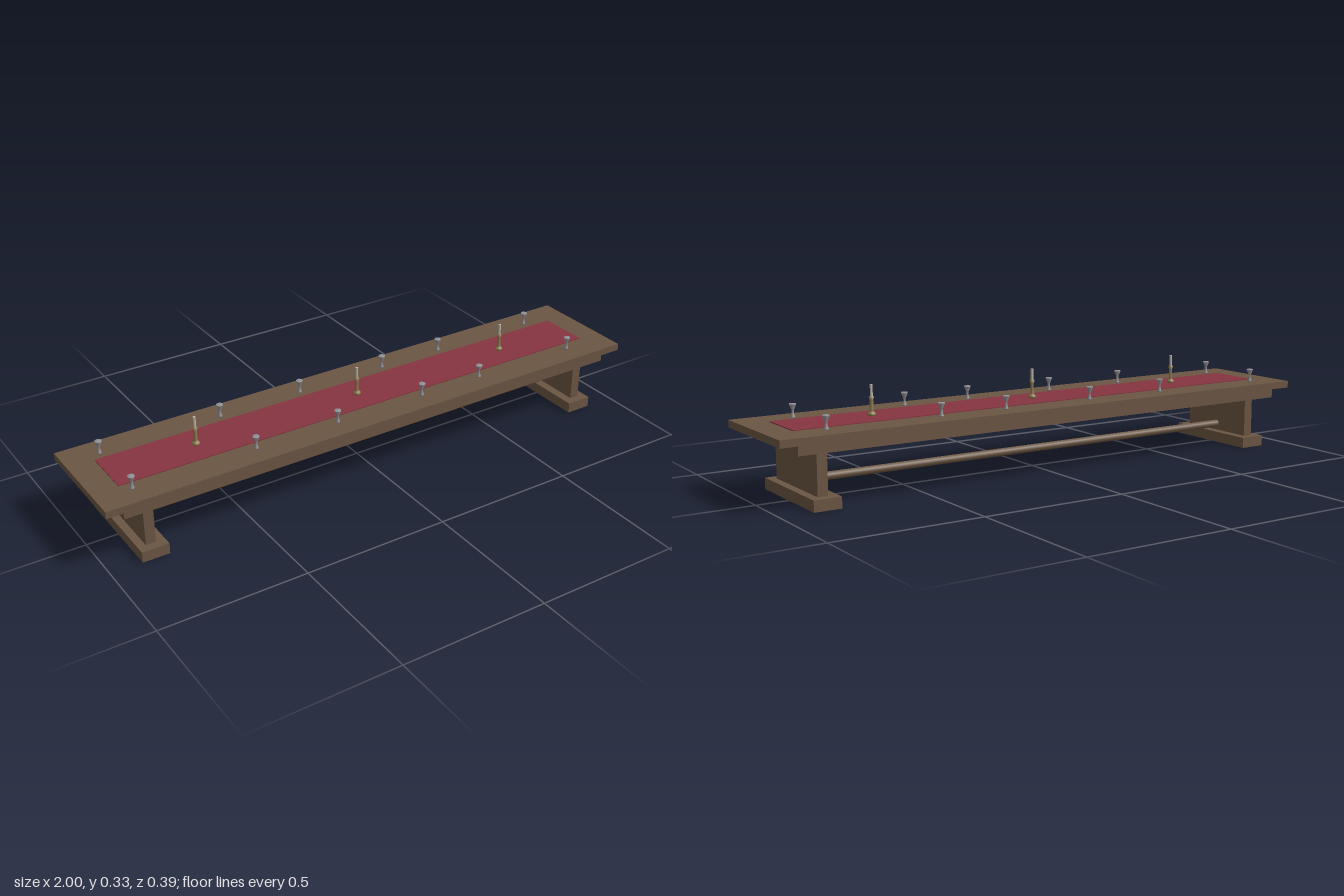
import * as THREE from 'three';

const material = (color, extra = {}) => new THREE.MeshStandardMaterial({ color, ...extra });

export function createModel() {
  const table = new THREE.Group();
  table.name = 'banquetTable';
  const wood = material(0x6b5643);
  const cloth = material(0x853540);
  const brass = material(0x8c7d50);
  const silver = material(0x929296, { side: THREE.DoubleSide });
  const wax = material(0xbdb9aa);

  const add = (name, geometry, mat, x, y, z, parent = table) => {
    const mesh = new THREE.Mesh(geometry, mat);
    mesh.name = name;
    mesh.position.set(x, y, z);
    parent.add(mesh);
    return mesh;
  };
  // Box given by its bottom and top heights
  const box = (name, w, d, y0, y1, mat, x = 0, z = 0) =>
    add(name, new THREE.BoxGeometry(w, y1 - y0, d), mat, x, (y0 + y1) / 2, z);
  const lathe = (points) =>
    new THREE.LatheGeometry(points.map(([r, y]) => new THREE.Vector2(r, y)), 16);

  // Top and cloth runner
  box('tableTop', 2, 0.394, 0.207, 0.231, wood);
  box('runner', 1.82, 0.176, 0.231, 0.234, cloth);

  // Long rails under the top, trestle legs and feet
  for (const s of [-1, 1]) {
    box('apronRail', 1.874, 0.015, 0.174, 0.207, wood, 0, s * 0.173);
    box('trestleLeg', 0.034, 0.303, 0.037, 0.207, wood, s * 0.849);
    box('foot', 0.092, 0.363, 0, 0.037, wood, s * 0.847);
  }

  // Round stretcher between the legs
  const stretcher = new THREE.CylinderGeometry(0.0135, 0.0135, 1.68, 12).rotateZ(Math.PI / 2);
  add('stretcher', stretcher, wood, 0, 0.061, 0);

  // Candlesticks along the centre line
  const stick = lathe([
    [0, 0], [0.011, 0], [0.0135, 0.004], [0.0125, 0.008], [0.009, 0.012],
    [0.006, 0.015], [0.0055, 0.05], [0.009, 0.061], [0, 0.061],
  ]);
  const candle = new THREE.CylinderGeometry(0.0045, 0.0045, 0.04, 12);
  for (const x of [-0.605, 0, 0.605]) {
    const group = new THREE.Group();
    group.name = 'candlestick';
    group.position.set(x, 0.234, 0);
    add('holder', stick, brass, 0, 0, 0, group);
    add('candle', candle, wax, 0, 0.08, 0, group);
    table.add(group);
  }

  // Goblets in two rows
  const goblet = lathe([
    [0, 0], [0.008, 0], [0.0075, 0.003], [0.004, 0.014], [0.004, 0.025],
    [0.011, 0.041], [0.011, 0.045], [0, 0.045],
  ]);
  for (const x of [-0.88, -0.455, -0.152, 0.182, 0.423, 0.818])
    for (const s of [-1, 1]) add('goblet', goblet, silver, x, 0.231, s * 0.121);

  return table;
}
